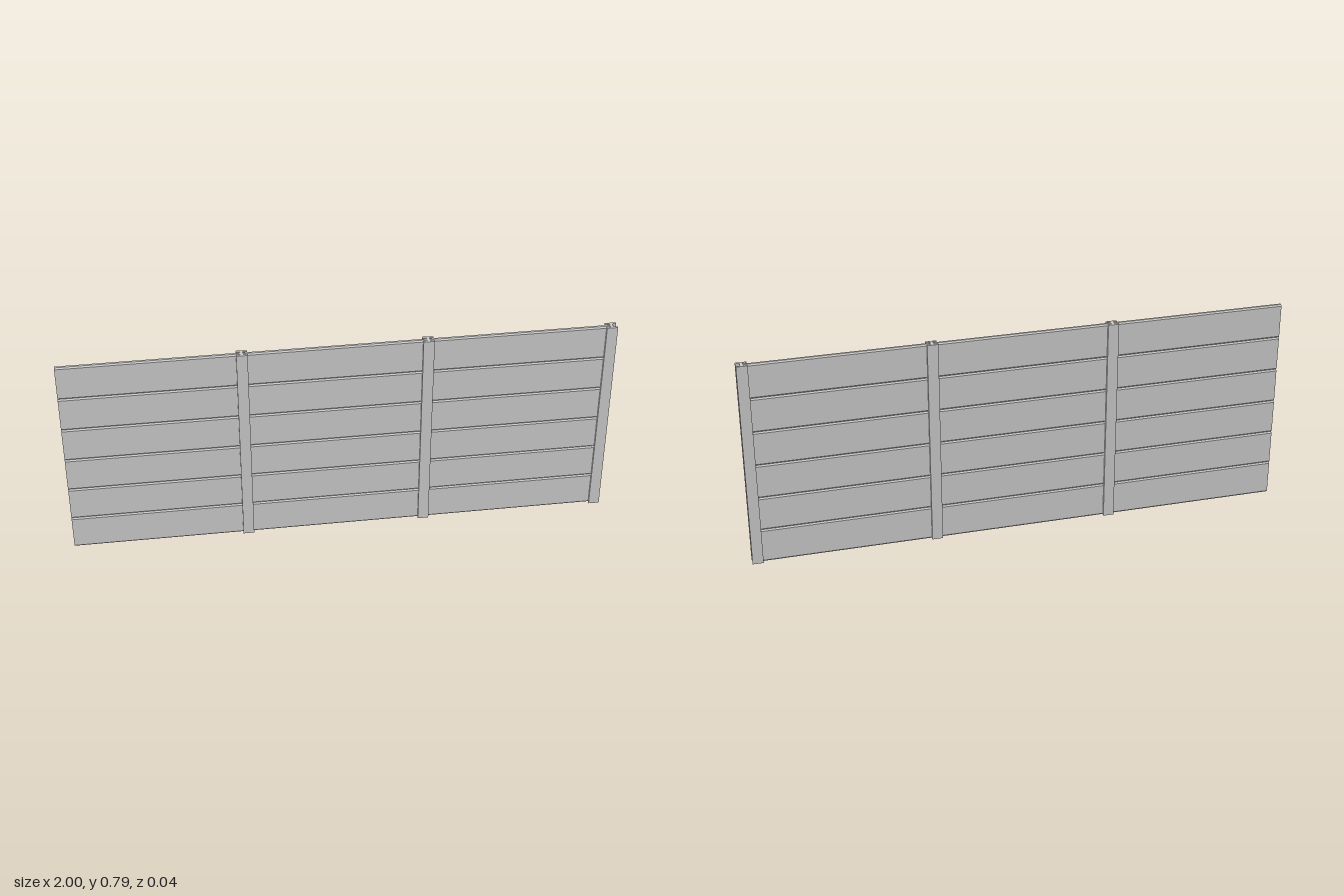
import * as THREE from 'three';

const HEIGHT = 0.792;
const BOARDS = 6;
const PITCH = HEIGHT / BOARDS;
const POST_X = [-0.35, 0.314, 0.98];
const POST_HALF = 0.02, POST_DEPTH = 0.018; // half width and half depth
const SLOT = 0.0095, WEB = 0.005; // half slot opening, half web thickness
const BOARD_HALF = 0.0085, STEP = 0.0045; // half thickness and edge chamfer

const material = new THREE.MeshStandardMaterial({ color: 0xcccccc, flatShading: true });

function extrude(points, depth) {
  const shape = new THREE.Shape(points.map(([x, y]) => new THREE.Vector2(x, y)));
  return new THREE.ExtrudeGeometry(shape, { depth, bevelEnabled: false });
}

// H-section post, slotted on both sides to receive the boards
function postGeometry() {
  const w = POST_HALF, d = POST_DEPTH;
  return extrude([
    [-w, -d], [w, -d], [w, -SLOT], [WEB, -SLOT], [WEB, SLOT], [w, SLOT],
    [w, d], [-w, d], [-w, SLOT], [-WEB, SLOT], [-WEB, -SLOT], [-w, -SLOT],
  ], HEIGHT).rotateX(-Math.PI / 2);
}

// Plank with chamfered long edges, running along x
function boardGeometry(length) {
  const t = BOARD_HALF, n = t - STEP, c = STEP + 0.001;
  return extrude([
    [-n, 0], [n, 0], [t, c], [t, PITCH - c],
    [n, PITCH], [-n, PITCH], [-t, PITCH - c], [-t, c],
  ], length).rotateY(Math.PI / 2);
}

export function createModel() {
  const fence = new THREE.Group();
  fence.name = 'fence';

  const postShape = postGeometry();
  POST_X.forEach((x, i) => {
    const post = new THREE.Mesh(postShape, material);
    post.name = `post${i + 1}`;
    post.position.x = x;
    fence.add(post);

    // Boards of the bay that ends at this post
    const start = i === 0 ? -1 : POST_X[i - 1] + WEB;
    const geometry = boardGeometry(x - WEB - start);
    const panel = new THREE.Group();
    panel.name = `panel${i + 1}`;
    panel.position.x = start;
    for (let row = 0; row < BOARDS; row++) {
      const board = new THREE.Mesh(geometry, material);
      board.name = `board${row + 1}`;
      board.position.y = row * PITCH;
      panel.add(board);
    }
    fence.add(panel);
  });
  return fence;
}
